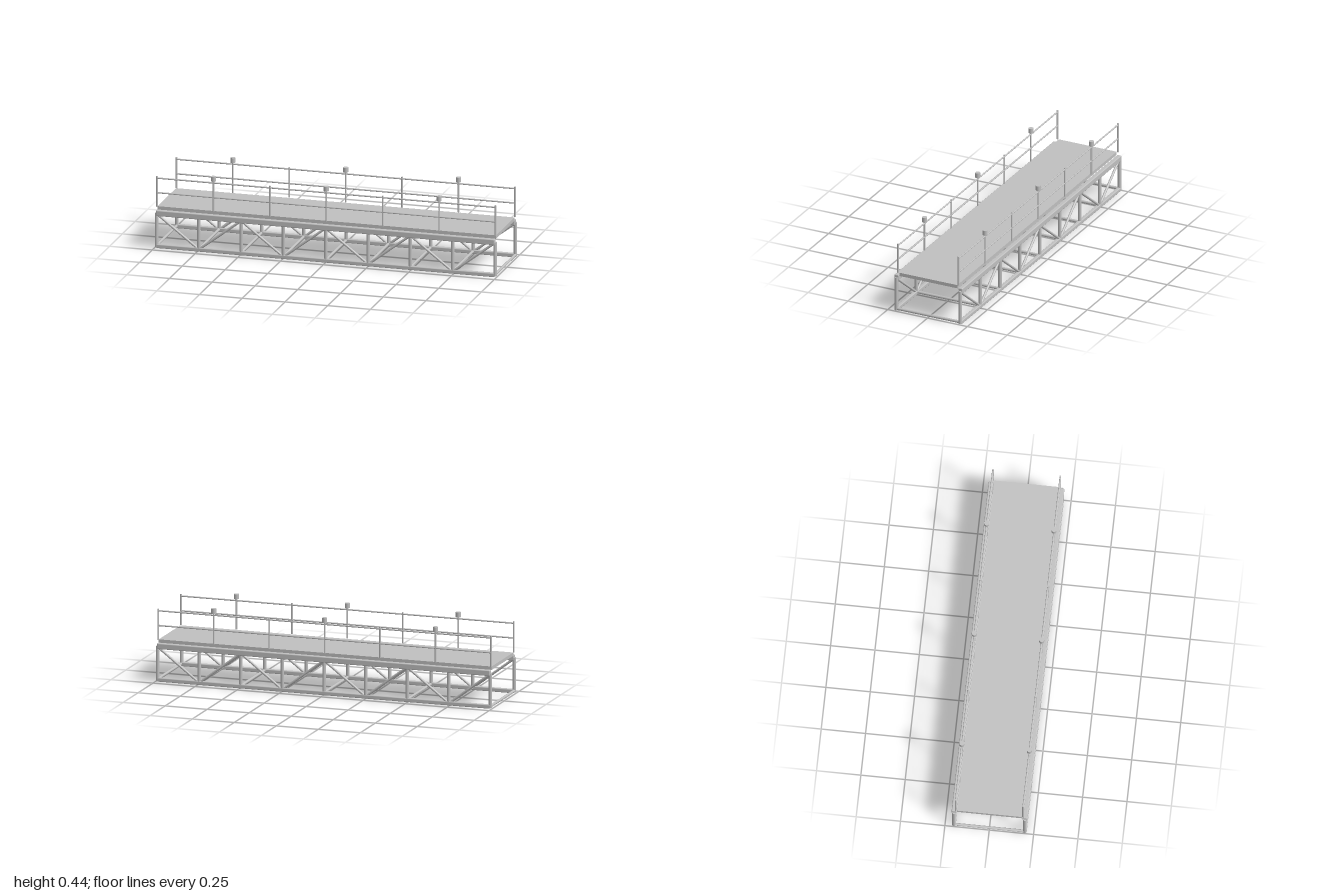
import * as THREE from 'three';
import { RoundedBoxGeometry } from 'three/addons/geometries/RoundedBoxGeometry.js';

export function createModel() {
  const model = new THREE.Group();
  model.name = 'trussFootbridge';
  const steel = new THREE.MeshStandardMaterial({ color: 0xc0c0c0 });
  steel.name = 'galvanised steel';

  const HALF = 0.99, BAYS = 8, TRUSS_Z = 0.2, RAIL_Z = 0.19;
  const LOW = 0.0115, HIGH = 0.205;
  const UP = new THREE.Vector3(0, 1, 0);

  function add(parent, name, geometry, x, y, z) {
    const mesh = new THREE.Mesh(geometry, steel);
    mesh.name = name;
    mesh.position.set(x, y, z);
    parent.add(mesh);
    return mesh;
  }

  // Round bar between two points
  function bar(parent, name, a, b, radius, sides = 12) {
    const from = new THREE.Vector3(...a), to = new THREE.Vector3(...b);
    const dir = to.clone().sub(from);
    const mid = from.clone().add(to).multiplyScalar(0.5);
    const geometry = new THREE.CylinderGeometry(radius, radius, dir.length(), sides);
    const mesh = add(parent, name, geometry, mid.x, mid.y, mid.z);
    mesh.quaternion.setFromUnitVectors(UP, dir.normalize());
  }

  const nodeX = (i) => -HALF + (i * 2 * HALF) / BAYS;

  // Walking deck
  add(model, 'deck', new THREE.BoxGeometry(2 * HALF, 0.02, 0.364), 0, 0.228, 0);

  for (const side of [1, -1]) {
    // Side truss: chords, uprights and zigzag diagonals
    const truss = new THREE.Group();
    truss.name = side > 0 ? 'frontTruss' : 'backTruss';
    model.add(truss);
    const z = side * TRUSS_Z;
    add(truss, 'topChord', new RoundedBoxGeometry(2 * HALF, 0.033, 0.027, 2, 0.005), 0, HIGH, z);
    add(truss, 'bottomChord', new RoundedBoxGeometry(2 * HALF, 0.023, 0.021, 2, 0.005), 0, LOW, z);
    for (let i = 0; i <= BAYS; i++) {
      bar(truss, 'upright', [nodeX(i), 0.005, z], [nodeX(i), HIGH, z], 0.01);
      if (i < BAYS) {
        const down = i % 2 === 0;
        bar(truss, 'diagonal',
          [nodeX(i), down ? HIGH - 0.005 : LOW, z],
          [nodeX(i + 1), down ? LOW : HIGH - 0.005, z], 0.007);
      }
    }

    // Guard rail: posts, two rails and post lamps
    const railing = new THREE.Group();
    railing.name = side > 0 ? 'frontRailing' : 'backRailing';
    model.add(railing);
    const rz = side * RAIL_Z;
    for (let i = -3; i <= 3; i++) {
      const x = i * 0.33;
      bar(railing, 'railPost', [x, 0.238, rz], [x, 0.416, rz], 0.005);
      if (i % 2 === 0) {
        add(railing, 'postLamp', new THREE.CylinderGeometry(0.0145, 0.0145, 0.028, 16), x, 0.429, rz);
      }
    }
    for (const y of [0.32, 0.405]) {
      bar(railing, 'handRail', [-HALF, y, rz], [HALF, y, rz], 0.0045);
    }
  }

  // Floor beams tying the two trusses together at every node
  for (let i = 0; i <= BAYS; i++) {
    bar(model, 'crossBeam', [nodeX(i), 0.014, -TRUSS_Z], [nodeX(i), 0.014, TRUSS_Z], 0.008);
  }

  return model;
}
